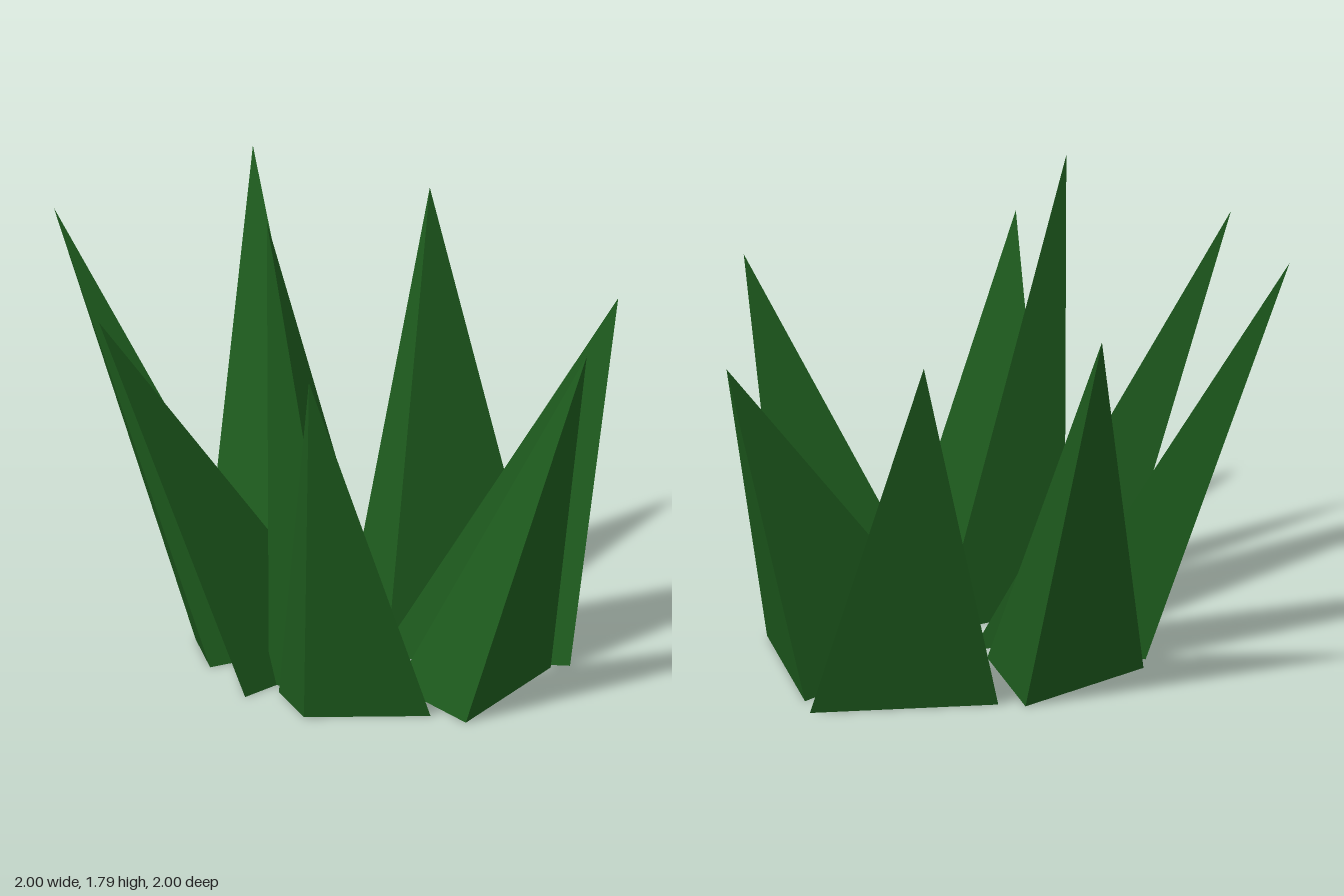
import * as THREE from 'three';

const leafMaterial = new THREE.MeshStandardMaterial({
  color: 0x1d5a1d, flatShading: true, side: THREE.DoubleSide,
});

// Each blade: a tip [x, y, z] and three ground corners [x, z]
const blades = [
  { name: 'backRightBlade', tip: [-0.48, 1.49, -0.91], base: [[0.03, -0.975], [-0.01, -0.25], [-0.42, -0.445]] },
  { name: 'backLeftBlade', tip: [0.425, 1.26, -1], base: [[0.12, -0.905], [0.65, -0.54], [0.095, -0.095]] },
  { name: 'leftBlade', tip: [1, 1.34, -0.29], base: [[0.615, -0.475], [0.86, 0.19], [0.38, 0.085]] },
  { name: 'frontLeftBlade', tip: [0.54, 1.35, 0.68], base: [[0.715, 0.23], [0.13, 0.44], [0.404, 0.575]] },
  { name: 'centreBlade', tip: [0.04, 1.79, 0.415], base: [[0.21, -0.085], [0.35, 0.305], [0.035, 0.4]] },
  { name: 'frontBlade', tip: [-0.24, 1.47, 1], base: [[0.005, -0.125], [0.087, 0.57], [-0.26, 0.295]] },
  { name: 'rightBlade', tip: [-1, 1.62, -0.51], base: [[-0.505, -0.39], [-0.085, -0.145], [-0.57, 0.175]] },
  { name: 'frontRightBlade', tip: [-0.985, 1.62, 0.515], base: [[-0.165, 0.03], [-0.25, 0.425], [-0.52, 0.24]] },
];

// Three-sided spike, open at the ground
function bladeGeometry(tip, base) {
  const [a, b, c] = base;
  const turn = (b[1] - a[1]) * (c[0] - a[0]) - (b[0] - a[0]) * (c[1] - a[1]);
  const ring = turn > 0 ? [a, b, c] : [a, c, b];
  const positions = [];
  ring.forEach(([x, z], i) => {
    const [nextX, nextZ] = ring[(i + 1) % 3];
    positions.push(x, 0, z, nextX, 0, nextZ, ...tip);
  });
  const geometry = new THREE.BufferGeometry();
  geometry.setAttribute('position', new THREE.Float32BufferAttribute(positions, 3));
  geometry.computeVertexNormals();
  return geometry;
}

export function createModel() {
  const tuft = new THREE.Group();
  tuft.name = 'grassTuft';
  for (const { name, tip, base } of blades) {
    const blade = new THREE.Mesh(bladeGeometry(tip, base), leafMaterial);
    blade.name = name;
    tuft.add(blade);
  }
  return tuft;
}
